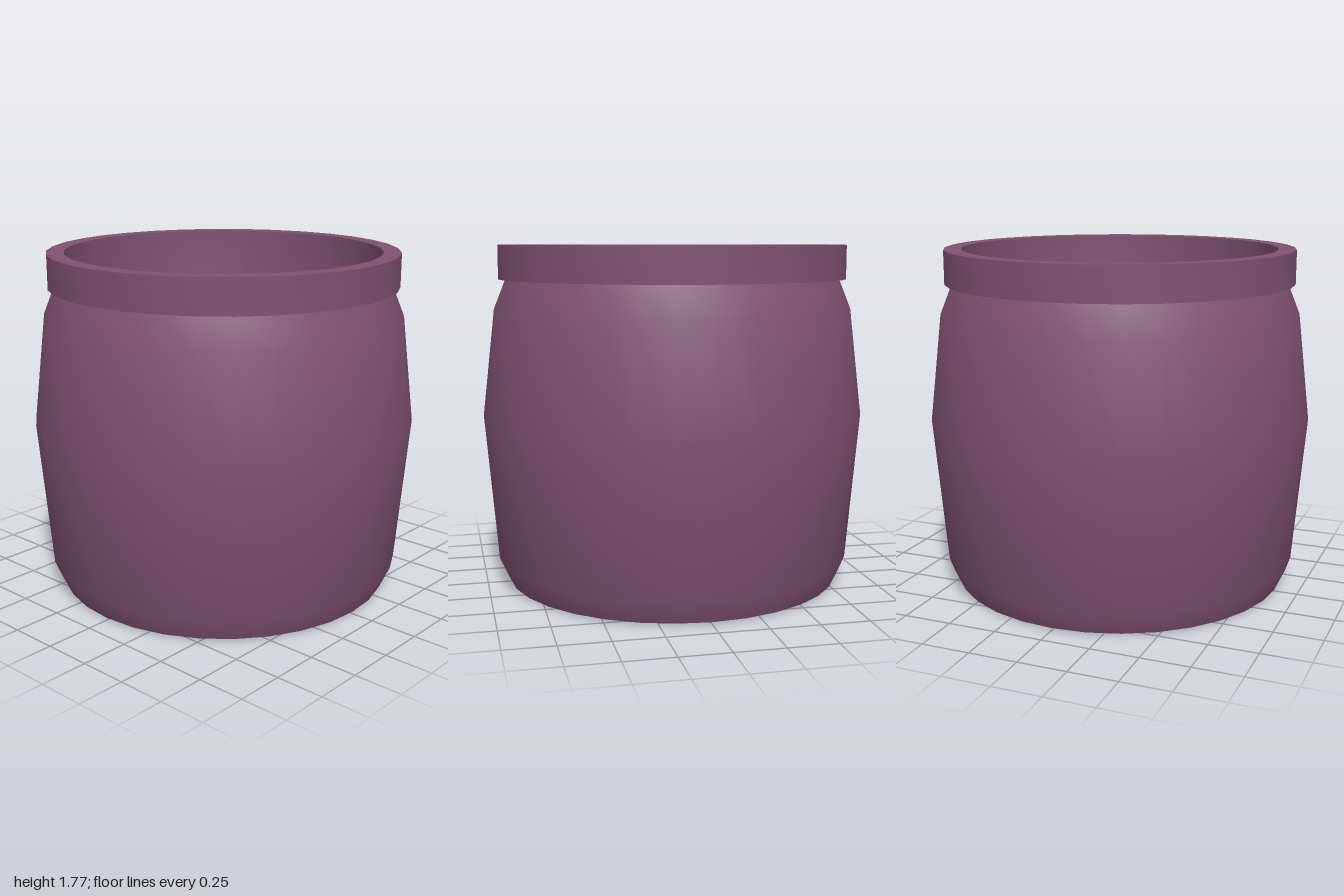
import * as THREE from 'three';
import { toCreasedNormals } from 'three/addons/utils/BufferGeometryUtils.js';

const SEGMENTS = 32;

export function createModel() {
  const group = new THREE.Group();
  group.name = 'jar';
  const material = new THREE.MeshStandardMaterial({ color: 0x7f5270 });

  // Revolve a [radius, height] profile; edges sharper than the crease stay hard
  function addLathe(name, profile, crease = 0.9) {
    const points = profile.map(([r, y]) => new THREE.Vector2(r, y));
    const geometry = toCreasedNormals(new THREE.LatheGeometry(points, SEGMENTS), crease);
    const mesh = new THREE.Mesh(geometry, material);
    mesh.name = name;
    group.add(mesh);
  }

  // Bulging outer wall with a shallow foot
  addLathe('body', [
    [0, 0], [0.67, 0], [0.88, 0.01], [0.935, 0.13],
    [1, 0.9], [0.935, 1.45], [0.875, 1.6],
  ]);

  // Square-edged band around the mouth
  addLathe('rim', [[0.82, 1.6], [0.91, 1.6], [0.91, 1.775], [0.82, 1.775]]);

  // Straight inner wall curving into the floor
  addLathe('interior', [
    [0.82, 1.775], [0.82, 0.18], [0.78, 0.11], [0.68, 0.08], [0, 0.08],
  ]);

  return group;
}
